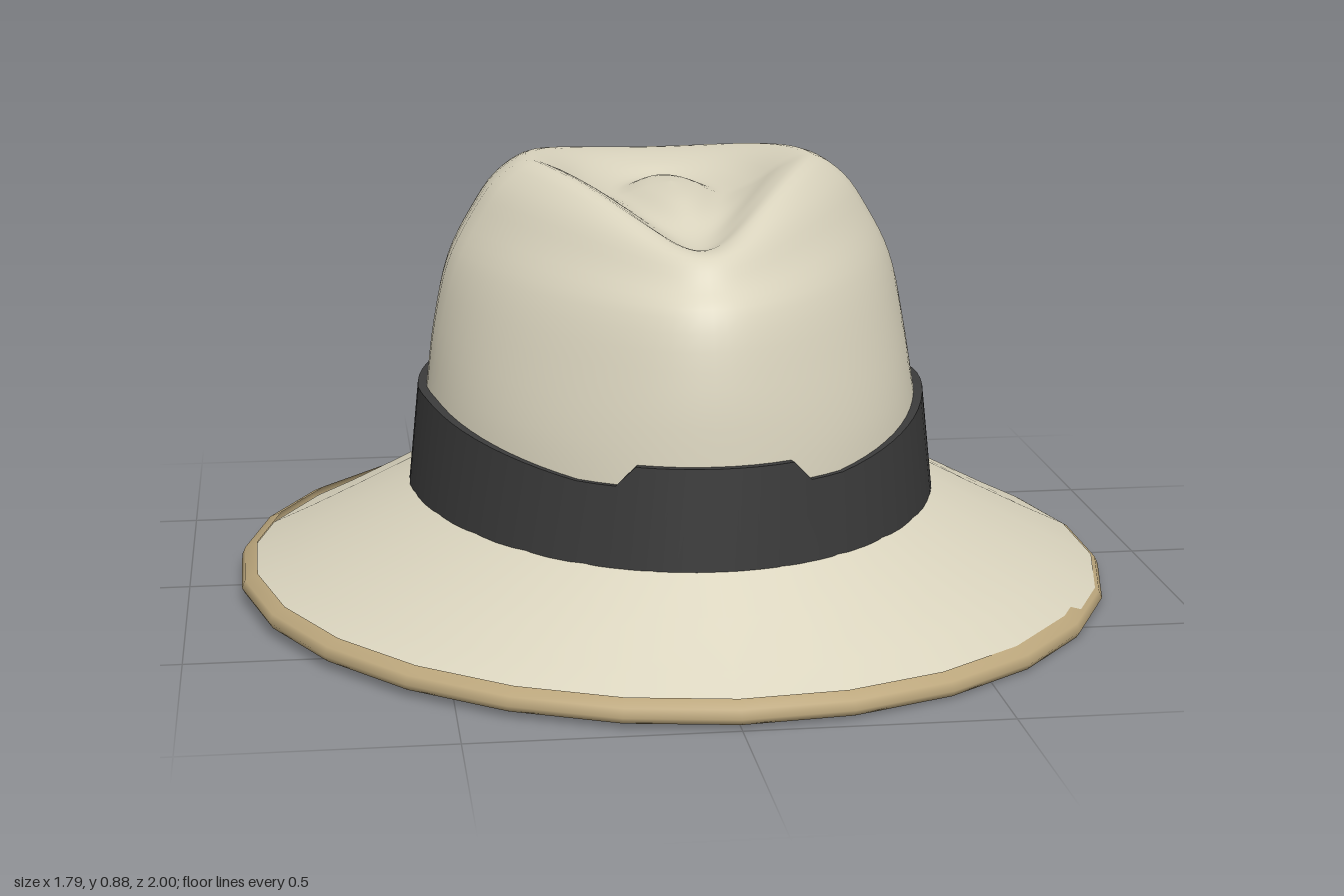
import * as THREE from 'three';

const felt = new THREE.MeshStandardMaterial({ color: 0xdad4be, side: THREE.DoubleSide });
felt.name = 'cream felt';
const ribbon = new THREE.MeshStandardMaterial({ color: 0x3b3b3b, side: THREE.DoubleSide });
ribbon.name = 'charcoal ribbon';
const binding = new THREE.MeshStandardMaterial({ color: 0xbba67c, side: THREE.DoubleSide });
binding.name = 'tan binding';

// One point of an egg-shaped ring: half width, front and back reach,
// front pinch, height, and how far the ring drops at its front and back.
function ringPoint([a, zf, zb, pinch, y, dropF = 0, dropB = 0], angle) {
  const s = Math.sin(angle), c = Math.cos(angle);
  const f = Math.max(c, 0), b = Math.max(-c, 0);
  return new THREE.Vector3(
    a * s * (1 - pinch * f),
    y - dropF * f * f - dropB * b * b,
    zf * f - zb * b);
}

// Surface through a column of points for each angle, joined all the way round.
function loft(name, material, sides, column) {
  const positions = [], index = [];
  let rows = 0;
  for (let i = 0; i < sides; i++) {
    const points = column((i / sides) * Math.PI * 2);
    rows = points.length;
    points.forEach(p => positions.push(p.x, p.y, p.z));
  }
  for (let i = 0; i < sides; i++) {
    const j = (i + 1) % sides;
    for (let r = 0; r < rows - 1; r++) {
      const a = i * rows + r, b = j * rows + r;
      index.push(a, b, b + 1, a, b + 1, a + 1);
    }
  }
  const geometry = new THREE.BufferGeometry();
  geometry.setAttribute('position', new THREE.Float32BufferAttribute(positions, 3));
  geometry.setIndex(index);
  geometry.computeVertexNormals();
  const mesh = new THREE.Mesh(geometry, material);
  mesh.name = name;
  return mesh;
}

// Crown rings from the brim, over the pinched ridge, into the teardrop crease.
const crownRings = [
  [0.53, 0.685, 0.685, 0.06, 0.2],
  [0.505, 0.672, 0.668, 0.08, 0.4],
  [0.487, 0.655, 0.645, 0.2, 0.54],
  [0.457, 0.62, 0.62, 0.34, 0.67],
  [0.412, 0.575, 0.595, 0.44, 0.76, 0.04, 0.03],
  [0.36, 0.53, 0.55, 0.5, 0.835, 0.07, 0.05],
  [0.295, 0.48, 0.47, 0.5, 0.876, 0.105, 0.05],
  [0.24, 0.42, 0.38, 0.5, 0.862, 0.1, 0.03],
  [0.17, 0.33, 0.28, 0.4, 0.82, 0.05, 0],
  [0.11, 0.23, 0.2, 0.3, 0.8],
  [0.055, 0.14, 0.14, 0.2, 0.818],
  [0, 0, 0, 0, 0.828],
];

// Brim rings from the outer edge up to the crown.
const brimRings = [
  [0.885, 0.985, 0.985, 0.02, 0.034],
  [0.79, 0.9, 0.9, 0.03, 0.08],
  [0.66, 0.795, 0.795, 0.045, 0.146],
  [0.53, 0.685, 0.685, 0.06, 0.215],
];

// Binding wraps the brim edge: under, outside, over.
const bindingRings = [
  [0.865, 0.962, 0.962, 0.02, 0.022],
  [0.893, 0.992, 0.992, 0.02, 0.01],
  [0.9, 1, 1, 0.02, 0.022],
  [0.893, 0.992, 0.992, 0.02, 0.038],
  [0.867, 0.966, 0.966, 0.02, 0.05],
];

// The ribbon's upper edge dips where the crown bulges beside the front.
function ribbonTop(angle) {
  const fromFront = Math.abs(angle > Math.PI ? angle - Math.PI * 2 : angle);
  if (fromFront < 0.34) return 0.4;
  if (fromFront > 1.4) return 0.41;
  return 0.36 + 0.05 * Math.max(0, (fromFront - 0.55) / 0.85);
}

// The edge leans slightly lower on the hat's left.
function lean(points) {
  points.forEach(p => { p.y -= 0.01 * p.x; });
  return points;
}

export function createModel() {
  const hat = new THREE.Group();
  hat.name = 'hat';

  hat.add(loft('crown', felt, 80, angle =>
    new THREE.CatmullRomCurve3(crownRings.map(r => ringPoint(r, angle))).getPoints(44)));

  hat.add(loft('brim', felt, 26, angle => brimRings.map(r => ringPoint(r, angle))));

  hat.add(loft('brimBinding', binding, 26, angle =>
    lean(bindingRings.map(r => ringPoint(r, angle)))));

  // Ribbon wall and the narrow lip closing it against the crown
  const lower = [0.543, 0.7, 0.7, 0.06, 0.205];
  const upper = angle => [0.522, 0.688, 0.682, 0.075, ribbonTop(angle)];
  const inner = angle => [0.5, 0.665, 0.66, 0.08, ribbonTop(angle)];
  hat.add(loft('hatBand', ribbon, 80, angle =>
    [ringPoint(lower, angle), ringPoint(upper(angle), angle)]));
  hat.add(loft('hatBandLip', ribbon, 80, angle =>
    [ringPoint(upper(angle), angle), ringPoint(inner(angle), angle)]));

  return hat;
}
